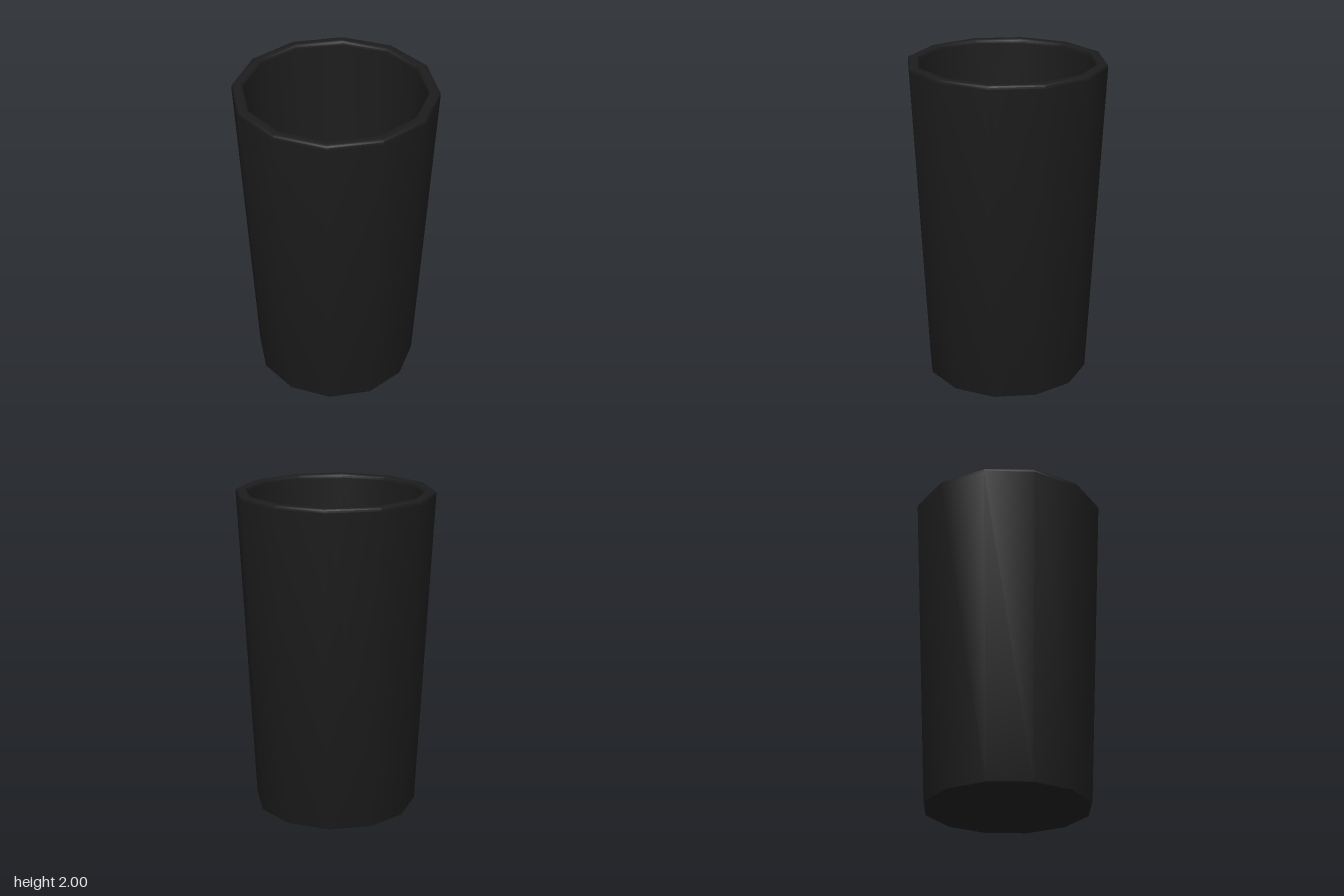
import * as THREE from 'three';
import { toCreasedNormals } from 'three/addons/utils/BufferGeometryUtils.js';

const SIDES = 12;

export function createModel() {
  const model = new THREE.Group();
  model.name = 'tumbler';
  const material = new THREE.MeshStandardMaterial({ color: 0x1c1c1c });

  // Revolve a profile [radius, height]; sides stay smooth, rims stay sharp
  const addRevolved = (name, profile) => {
    const points = profile.map(([r, y]) => new THREE.Vector2(r, y));
    const geometry = toCreasedNormals(new THREE.LatheGeometry(points, SIDES), 0.65);
    const mesh = new THREE.Mesh(geometry, material);
    mesh.name = name;
    model.add(mesh);
  };

  // Underside and tapered outer wall
  addRevolved('outerWall', [[0, 0], [0.505, 0], [0.508, 0.008], [0.604, 1.975]]);

  // Slightly rounded lip
  addRevolved('rim', [
    [0.604, 1.975], [0.603, 1.988], [0.597, 1.996], [0.585, 2],
    [0.555, 2], [0.545, 1.996], [0.539, 1.988], [0.537, 1.975],
  ]);

  // Tapered inner wall and floor
  addRevolved('innerWall', [[0.537, 1.975], [0.442, 0.06], [0, 0.06]]);

  return model;
}
